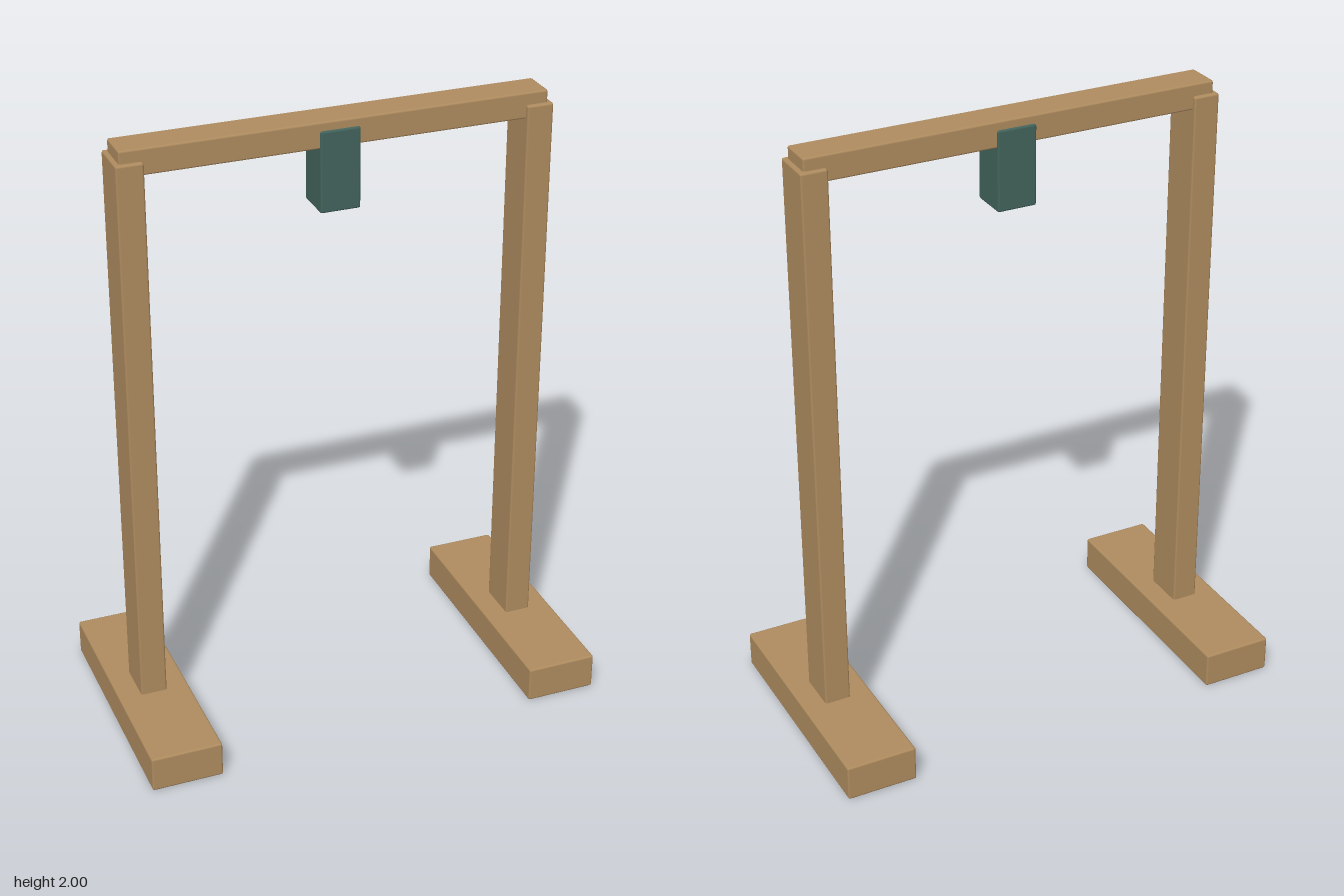
import * as THREE from 'three';
import { RoundedBoxGeometry } from 'three/addons/geometries/RoundedBoxGeometry.js';

const wood = new THREE.MeshStandardMaterial({ name: 'wood', color: 0xb08d60 });
const teal = new THREE.MeshStandardMaterial({ name: 'dark teal', color: 0x43655d });

// Box with slightly eased edges, placed by its bottom and top heights
function block(name, material, width, depth, bottom, top, x = 0) {
  const height = top - bottom;
  const mesh = new THREE.Mesh(new RoundedBoxGeometry(width, height, depth, 1, 0.007), material);
  mesh.name = name;
  mesh.position.set(x, (bottom + top) / 2, 0);
  return mesh;
}

export function createModel() {
  const model = new THREE.Group();
  model.name = 'frame';

  // Foot and post on each side
  for (const [side, s] of [['left', 1], ['right', -1]]) {
    model.add(block(side + 'Foot', wood, 0.234, 0.826, 0, 0.12, s * 0.652));
    model.add(block(side + 'Post', wood, 0.087, 0.144, 0.1, 1.96, s * 0.652));
  }

  // Crossbeam with the bracket wrapped around its middle
  model.add(block('crossbeam', wood, 1.362, 0.117, 1.915, 2));
  model.add(block('hangingBracket', teal, 0.13, 0.13, 1.71, 1.972));

  return model;
}
